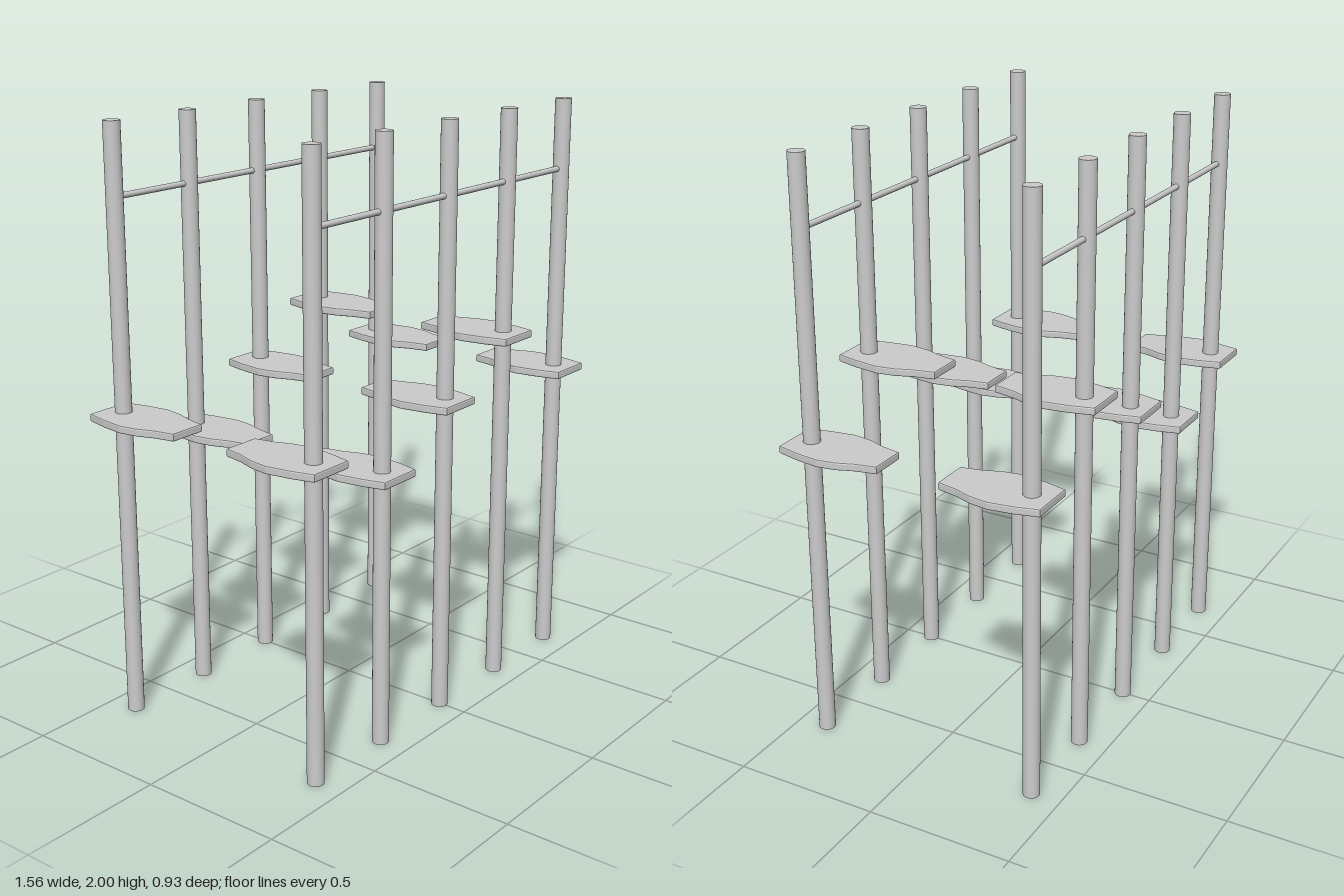
import * as THREE from 'three';

const POST_Z = 0.397;
// x of each post, x of its step, height of its step
const COLUMNS = [
  [-0.67, -0.672, 1.05],
  [-0.335, -0.333, 0.928],
  [0, -0.01, 1.087],
  [0.335, 0.325, 1.242],
  [0.67, 0.67, 1.05],
];

// Step outline: half width along z, mirrored to the other side
function stepGeometry() {
  const half = [[0.079, 0.467], [0.098, 0.39], [0.11, 0.305], [0.1, 0.24], [0.078, 0.18], [0.064, 0.111]];
  const outline = [
    ...half.map(([x, z]) => new THREE.Vector2(x, z)),
    ...half.slice().reverse().map(([x, z]) => new THREE.Vector2(-x, z)),
  ];
  const bevel = 0.005, thickness = 0.027;
  const geo = new THREE.ExtrudeGeometry(new THREE.Shape(outline), {
    depth: thickness - 2 * bevel,
    bevelEnabled: true, bevelThickness: bevel, bevelSize: bevel, bevelOffset: -bevel, bevelSegments: 2,
  });
  geo.translate(0, 0, bevel - thickness / 2);
  geo.rotateX(Math.PI / 2); // shape y becomes z, thickness becomes y
  return geo;
}

export function createModel() {
  const model = new THREE.Group();
  const material = new THREE.MeshStandardMaterial({ color: 0xcccccc });
  const postGeo = new THREE.CylinderGeometry(0.028, 0.028, 2, 32);
  const barGeo = new THREE.CylinderGeometry(0.01, 0.01, 1.34, 16).rotateZ(Math.PI / 2);
  const stepGeo = stepGeometry();

  const add = (parent, name, geo, x, y, z) => {
    const mesh = new THREE.Mesh(geo, material);
    mesh.name = name;
    mesh.position.set(x, y, z);
    parent.add(mesh);
    return mesh;
  };

  // Two facing rows of posts, each joined by a top bar
  for (const [name, side] of [['frontRow', 1], ['backRow', -1]]) {
    const row = new THREE.Group();
    row.name = name;
    COLUMNS.forEach(([postX, stepX, stepY]) => {
      add(row, 'post', postGeo, postX, 1, side * POST_Z);
      const step = add(row, 'step', stepGeo, stepX, stepY, 0);
      if (side < 0) step.rotation.y = Math.PI;
    });
    add(row, 'topBar', barGeo, 0, 1.762, side * POST_Z);
    model.add(row);
  }
  return model;
}
